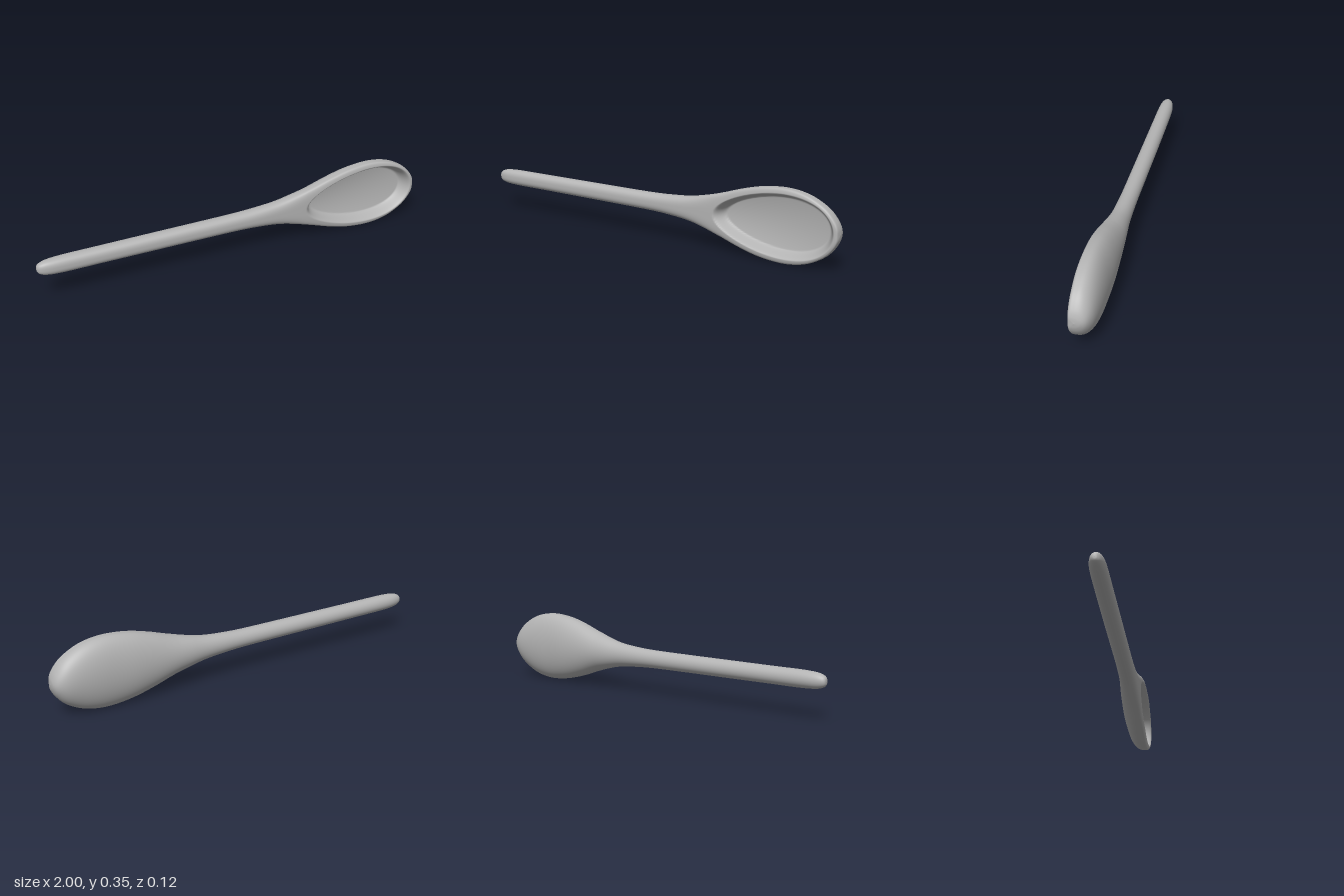
import * as THREE from 'three';
import { mergeVertices } from 'three/addons/utils/BufferGeometryUtils.js';

// Key sections along the spoon: x, half height, back z, front z, squareness of the front
const SECTIONS = [
  [-1, 0, 0.014, 0.014, 2.5], [-0.997, 0.015, 0.003, 0.027, 2.5], [-0.985, 0.026, -0.006, 0.038, 2.5],
  [-0.96, 0.034, -0.014, 0.046, 2.5], [-0.92, 0.038, -0.02, 0.051, 2.5], [-0.85, 0.04, -0.023, 0.053, 2.5],
  [-0.7, 0.04, -0.025, 0.053, 2.5], [-0.45, 0.041, -0.027, 0.053, 2.5], [-0.2, 0.042, -0.028, 0.053, 2.5],
  [0, 0.044, -0.029, 0.053, 2.5], [0.12, 0.05, -0.031, 0.054, 2.6], [0.22, 0.06, -0.035, 0.055, 2.9],
  [0.31, 0.079, -0.043, 0.057, 3.5], [0.4, 0.104, -0.05, 0.058, 4.5], [0.5, 0.136, -0.056, 0.058, 6],
  [0.6, 0.161, -0.06, 0.058, 7], [0.7, 0.173, -0.06, 0.057, 7], [0.78, 0.17, -0.06, 0.057, 7],
  [0.85, 0.154, -0.058, 0.057, 7], [0.91, 0.126, -0.053, 0.056, 6.5], [0.95, 0.097, -0.044, 0.055, 6],
  [0.98, 0.061, -0.028, 0.053, 5], [0.995, 0.03, -0.006, 0.048, 4], [1, 0, 0.024, 0.024, 4],
];
const CENTRE_Y = 0.1735;
const STEPS = 12;   // stations between key sections
const AROUND = 160; // points around each section

// Egg-shaped hollow, narrower towards the handle, with a short rounded wall
function hollow(x, y, z) {
  const u = (x - 0.675) / 0.308;
  const v = y / (0.147 * (1 + 0.23 * u));
  const t = Math.hypot(u, v);
  if (t >= 1) return z;
  const floor = -0.017 + 0.02 * t * t;
  const wallStart = 0.81 + 0.06 * u * u;
  return THREE.MathUtils.lerp(floor, z, THREE.MathUtils.smoothstep(t, wallStart, 1));
}

function spoonGeometry() {
  const spline = (a, b) => new THREE.CatmullRomCurve3(
    SECTIONS.map((s) => new THREE.Vector3(s[0], s[a], s[b])), false, 'catmullrom');
  const outline = spline(1, 4);
  const thickness = spline(2, 3);
  const rows = (SECTIONS.length - 1) * STEPS;
  const positions = [];
  const indices = [];

  for (let i = 0; i <= rows; i++) {
    const { x, y: half, z: power } = outline.getPoint(i / rows);
    const { y: back, z: front } = thickness.getPoint(i / rows);
    // The widest line moves towards the front as the bowl opens
    const middle = back + (front - back) * (0.5 + Math.min(0.19, 0.12 * (power - 2.5)));
    for (let j = 0; j < AROUND; j++) {
      const angle = (j / AROUND) * Math.PI * 2;
      const c = Math.cos(angle);
      const s = Math.sin(angle);
      const y = half * c;
      let z;
      if (s >= 0) {
        const rise = Math.pow(Math.max(0, 1 - Math.pow(Math.abs(c), power)), 1 / power);
        z = hollow(x, y, middle + (front - middle) * rise);
      } else {
        z = middle + (middle - back) * s;
      }
      positions.push(x, CENTRE_Y + y, z);
    }
  }

  for (let i = 0; i < rows; i++) {
    for (let j = 0; j < AROUND; j++) {
      const k = (j + 1) % AROUND;
      const a = i * AROUND + j;
      const b = i * AROUND + k;
      indices.push(a, b, a + AROUND, b, b + AROUND, a + AROUND);
    }
  }

  const geometry = new THREE.BufferGeometry();
  geometry.setAttribute('position', new THREE.Float32BufferAttribute(positions, 3));
  geometry.setIndex(indices);
  // Close the two tips to single points
  const merged = mergeVertices(geometry, 1e-5);
  merged.computeVertexNormals();
  return merged;
}

export function createModel() {
  const grey = new THREE.MeshStandardMaterial({ color: 0xb4b4b4 });
  grey.name = 'plain grey';

  const spoon = new THREE.Mesh(spoonGeometry(), grey);
  spoon.name = 'handleAndBowl';

  const group = new THREE.Group();
  group.name = 'spoon';
  group.add(spoon);
  return group;
}
